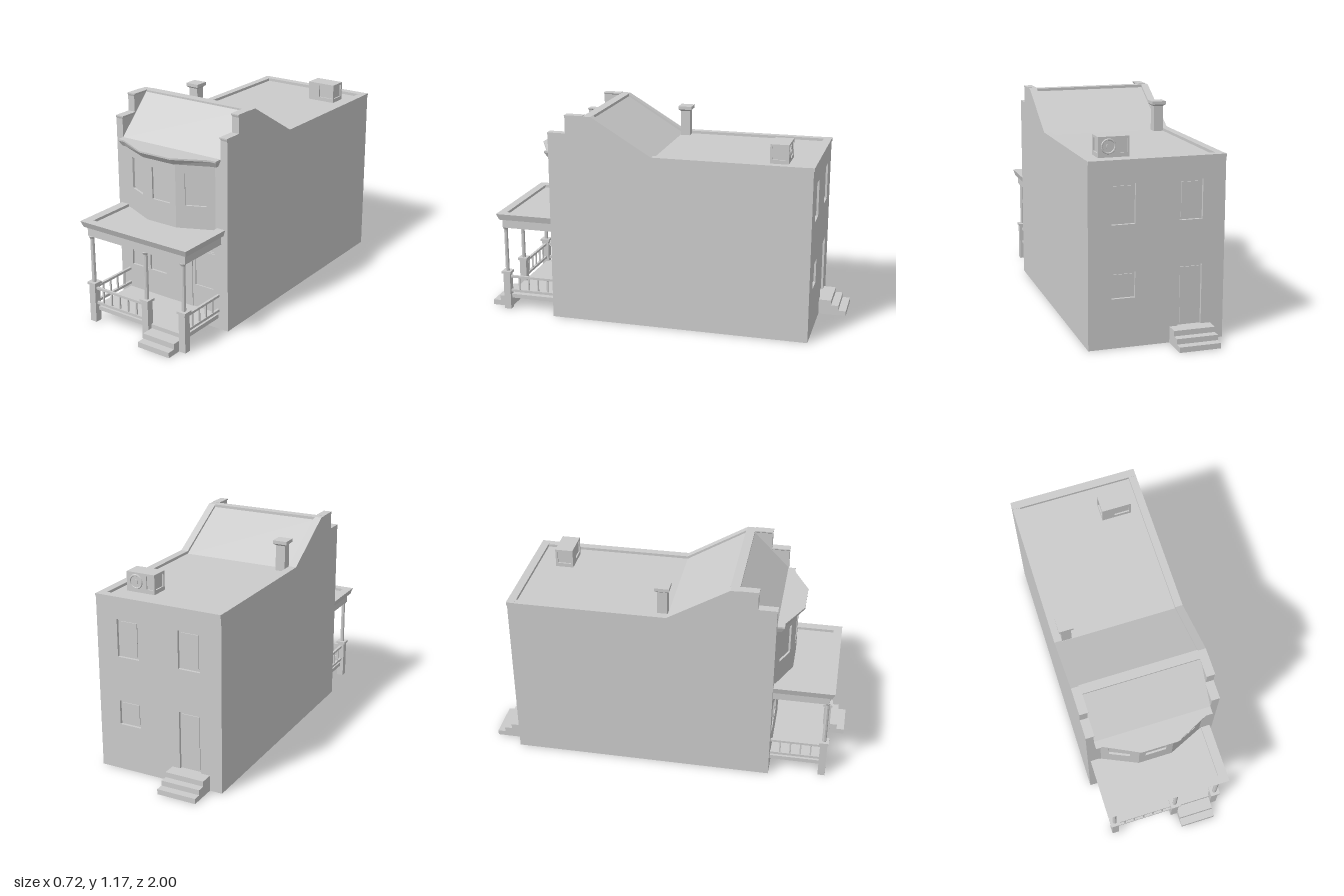
import * as THREE from 'three';

export function createModel() {
  const house = new THREE.Group();
  house.name = 'rowHouse';
  const mat = new THREE.MeshStandardMaterial({ color: 0xcccccc, flatShading: true });

  const add = (name, geo) => {
    const m = new THREE.Mesh(geo, mat);
    m.name = name;
    house.add(m);
    return m;
  };
  // box given by its extents
  const box = (name, x0, x1, y0, y1, z0, z1) =>
    add(name, new THREE.BoxGeometry(x1 - x0, y1 - y0, z1 - z0)
      .translate((x0 + x1) / 2, (y0 + y1) / 2, (z0 + z1) / 2));
  // corners run counter-clockwise seen from above
  const rect = (x0, x1, z0, z1) => [[x0, z1], [x1, z1], [x1, z0], [x0, z0]];
  // solid through stacked outlines [y, [[x, z], ...]], closed at both ends
  const loft = (name, rings) => {
    const pos = [];
    const v = (r, i) => {
      const p = r[1][i % r[1].length];
      pos.push(p[0], r[0], p[1]);
    };
    for (let k = 0; k + 1 < rings.length; k++) {
      const a = rings[k], b = rings[k + 1];
      for (let i = 0; i < a[1].length; i++) {
        v(a, i); v(a, i + 1); v(b, i + 1);
        v(a, i); v(b, i + 1); v(b, i);
      }
    }
    const cap = (r, flip) => {
      const pts = r[1].map(p => new THREE.Vector2(p[0], -p[1]));
      for (const [a, b, c] of THREE.ShapeUtils.triangulateShape(pts, [])) {
        v(r, a); v(r, flip ? c : b); v(r, flip ? b : c);
      }
    };
    cap(rings[0], true);
    cap(rings[rings.length - 1], false);
    const g = new THREE.BufferGeometry();
    g.setAttribute('position', new THREE.Float32BufferAttribute(pos, 3));
    g.computeVertexNormals();
    return add(name, g);
  };
  const poly = pts => new THREE.Shape(pts.map(p => new THREE.Vector2(p[0], p[1])));
  const quad = (x0, x1, y0, y1) => [[x0, y0], [x1, y0], [x1, y1], [x0, y1]];
  // wall facing +z with its outer face at z = 0 and openings [x0, x1, y0, y1]
  const wallGeo = (x0, x1, y0, y1, depth, openings) => {
    const s = poly(quad(x0, x1, y0, y1));
    for (const o of openings) s.holes.push(poly(quad(...o)));
    return new THREE.ExtrudeGeometry(s, { depth, bevelEnabled: false }).translate(0, 0, -depth);
  };
  // [z, y] profile extruded across x0..x1
  const profile = (name, pts, x0, x1) =>
    add(name, new THREE.ExtrudeGeometry(poly(pts), { depth: x1 - x0, bevelEnabled: false })
      .rotateY(-Math.PI / 2).translate(x1, 0, 0));

  // main body with flat rear roof, rear slope and steep front roof
  profile('bodyAndRoof', [[-0.83, 0], [0.588, 0], [0.588, 0.945], [0.6, 0.95], [0.4, 1.155],
    [0.35, 1.15], [0.02, 0.95], [-0.83, 0.95]], -0.318, 0.318);
  box('ridgeCap', -0.318, 0.318, 1.12, 1.165, 0.35, 0.4);

  // side walls with stepped parapets
  const side = [[-0.845, 0], [0.6, 0], [0.6, 1.065], [0.5, 1.065], [0.5, 1.165], [0.355, 1.165],
    [0.02, 0.965], [-0.845, 0.965]];
  for (const s of [-1, 1]) {
    profile('sideWall', side, s < 0 ? -0.36 : 0.318, s < 0 ? -0.318 : 0.36);
    for (const [y, z0, z1] of [[1.067, 0.5, 0.603], [1.167, 0.4, 0.503]]) {
      const span = w => (s < 0 ? [-0.36, -w] : [w, 0.36]);
      loft('parapetCap', [[y - 0.016, rect(...span(0.324), z0, z1 - 0.003)],
        [y - 0.006, rect(...span(0.313), z0, z1)], [y, rect(...span(0.313), z0, z1)]]);
    }
  }

  // rear wall with windows and door
  add('rearWall', wallGeo(-0.318, 0.318, 0, 0.965, 0.04, [[-0.24, -0.115, 0.64, 0.845],
    [0.115, 0.24, 0.64, 0.845], [-0.24, -0.115, 0.26, 0.395], [0.115, 0.24, 0.085, 0.405]])
    .rotateY(Math.PI).translate(0, 0, -0.845));
  box('rearCoping', -0.36, 0.36, 0.948, 0.966, -0.85, -0.805);
  for (const [x, y0, y1] of [[0.1775, 0.64, 0.845], [-0.1775, 0.64, 0.845], [0.1775, 0.26, 0.395],
    [-0.1775, 0.085, 0.405]]) {
    box('rearPane', x - 0.05, x + 0.05, y0 + 0.012, y1 - 0.012, -0.835, -0.82);
  }

  // ground-floor front wall with windows, door and transom
  add('frontWall', wallGeo(-0.318, 0.318, 0, 0.95, 0.015, [[-0.28, -0.17, 0.225, 0.4],
    [-0.155, -0.045, 0.225, 0.4], [0.13, 0.28, 0.085, 0.405], [0.13, 0.28, 0.42, 0.475]])
    .translate(0, 0, 0.6));
  for (const x of [-0.28, -0.155]) box('windowSash', x, x + 0.11, 0.31, 0.4, 0.58, 0.593);
  add('doorLeaf', wallGeo(0.13, 0.28, 0.085, 0.405, 0.01, [[0.147, 0.265, 0.215, 0.39]])
    .translate(0, 0, 0.595));
  add('transomFrame', wallGeo(0.13, 0.28, 0.42, 0.475, 0.01, [[0.147, 0.265, 0.427, 0.468]])
    .translate(0, 0, 0.595));

  // upper bay: recessed panes behind three facets
  const bay = [[-0.285, 0.6], [-0.095, 0.685], [0.095, 0.685], [0.285, 0.6]];
  loft('bayPanes', [0.555, 0.92].map(y =>
    [y, [[-0.258, 0.599], [-0.092, 0.674], [0.092, 0.674], [0.258, 0.599]]]));
  const bayWindows = [[0.044, 0.159], [0.037, 0.153], [0.049, 0.164]];
  bayWindows.forEach(([a, b], i) => {
    const [px, pz] = bay[i], [qx, qz] = bay[i + 1];
    add('bayWall', wallGeo(0, Math.hypot(qx - px, qz - pz), 0.555, 0.92, 0.012, [[a, b, 0.685, 0.86]])
      .rotateY(Math.atan2(pz - qz, qx - px)).translate(px, 0, pz));
  });
  const mirrored = half => [...half, ...half.slice().reverse().map(([x, z]) => [-x, z])];
  const corniceTop = mirrored([[-0.318, 0.59], [-0.318, 0.64], [-0.28, 0.64], [-0.1, 0.728]]);
  loft('bayCornice', [
    [0.912, mirrored([[-0.305, 0.59], [-0.305, 0.622], [-0.283, 0.622], [-0.098, 0.705]])],
    [0.942, corniceTop], [0.951, corniceTop]]);

  // porch roof with flared cornice and sunken top
  box('porchBeam', -0.32, 0.32, 0.49, 0.545, 0.6, 0.905);
  loft('porchRoof', [[0.54, rect(-0.335, 0.335, 0.598, 0.917)], [0.575, rect(-0.345, 0.345, 0.598, 0.932)],
    [0.575, rect(-0.295, 0.295, 0.599, 0.885)], [0.56, rect(-0.295, 0.295, 0.599, 0.885)]]);

  // porch deck and posts
  box('porchDeck', -0.3, 0.3, 0.062, 0.085, 0.598, 0.89);
  for (const x of [-0.3, 0.06, 0.3]) {
    const z = 0.895;
    box('postPedestal', x - 0.02, x + 0.02, 0, 0.217, z - 0.02, z + 0.02);
    box('pedestalCap', x - 0.027, x + 0.027, 0.215, 0.228, z - 0.027, z + 0.027);
    add('porchColumn', new THREE.CylinderGeometry(0.011, 0.012, 0.26, 8).translate(x, 0.355, z));
    add('columnCapital', new THREE.CylinderGeometry(0.019, 0.012, 0.014, 8).translate(x, 0.484, z));
  }

  // railings
  for (const [y0, y1] of [[0.187, 0.2], [0.102, 0.116]]) {
    box('frontRail', -0.28, 0.04, y0, y1, 0.888, 0.902);
    for (const x of [-0.3, 0.3]) box('sideRail', x - 0.007, x + 0.007, y0, y1, 0.599, 0.876);
  }
  for (let i = 0; i < 5; i++) {
    const x = -0.238 + i * 0.0565;
    box('frontBaluster', x - 0.004, x + 0.004, 0.11, 0.19, 0.891, 0.899);
  }
  for (const x of [-0.3, 0.3]) {
    for (let i = 0; i < 4; i++) {
      const z = 0.655 + i * 0.057;
      box('sideBaluster', x - 0.004, x + 0.004, 0.11, 0.19, z - 0.004, z + 0.004);
    }
  }

  // front and rear steps
  [1.0, 0.957].forEach((z, i) => box('frontStep', 0.08, 0.28, i * 0.03, (i + 1) * 0.03, 0.885, z));
  [1.0, 0.957, 0.915].forEach((z, i) =>
    box('rearStep', -0.29, -0.07, i * 0.0285, (i + 1) * 0.0285, -z, -0.84));

  // chimney
  box('chimneyShaft', -0.317, -0.263, 0.94, 1.1, -0.035, 0.018);
  loft('chimneyCap', [[1.092, rect(-0.317, -0.263, -0.035, 0.018)], [1.102, rect(-0.33, -0.25, -0.047, 0.031)],
    [1.12, rect(-0.33, -0.25, -0.047, 0.031)]]);

  // rooftop air conditioner: casing with recessed grilles and a round fan
  box('coolerCore', 0.108, 0.257, 0.945, 1.05, -0.692, -0.608);
  add('coolerFront', wallGeo(0.1, 0.265, 0.945, 1.055, 0.01, [[0.17, 0.255, 0.972, 1.042]])
    .translate(0, 0, -0.6));
  add('coolerBack', wallGeo(-0.265, -0.1, 0.945, 1.055, 0.01, [[-0.148, -0.108, 0.972, 1.042]])
    .rotateY(Math.PI).translate(0, 0, -0.7));
  for (const s of [-1, 1]) {
    add('coolerEnd', wallGeo(-0.05, 0.05, 0.945, 1.055, 0.01, [[-0.038, 0.038, 0.972, 1.042]])
      .rotateY(s * Math.PI / 2).translate(s < 0 ? 0.1 : 0.265, 0, -0.65));
  }
  box('coolerTop', 0.1, 0.265, 1.045, 1.055, -0.7, -0.6);
  add('fanRing', new THREE.TorusGeometry(0.035, 0.005, 6, 24).translate(0.21, 1.006, -0.701));
  add('fanHub', new THREE.CylinderGeometry(0.013, 0.013, 0.01, 16)
    .rotateX(Math.PI / 2).translate(0.21, 1.006, -0.701));

  return house;
}
